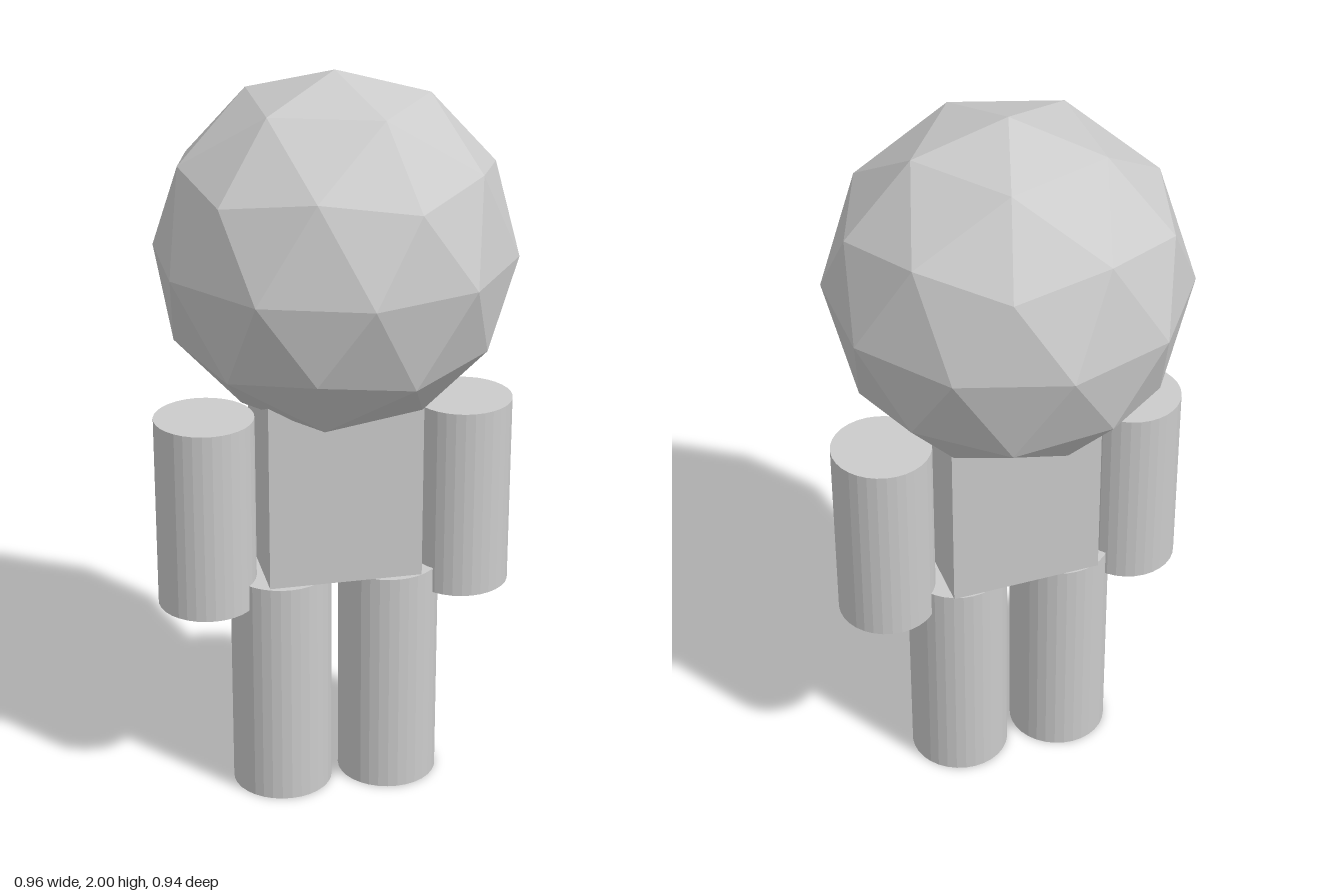
import * as THREE from 'three';

export function createModel() {
  const model = new THREE.Group();
  const material = new THREE.MeshStandardMaterial({ color: 0xcccccc, flatShading: true });

  const add = (name, geometry, x, y) => {
    const mesh = new THREE.Mesh(geometry, material);
    mesh.name = name;
    mesh.position.set(x, y, 0);
    model.add(mesh);
  };

  // Faceted head, turned so a corner of the icosahedron points straight up
  const head = new THREE.IcosahedronGeometry(0.47, 1);
  head.rotateZ(-Math.atan(2 / (1 + Math.sqrt(5))));
  add('head', head, 0, 1.53);

  // Box torso, its top sunk into the head
  const bottom = 0.655, top = 1.2;
  add('torso', new THREE.BoxGeometry(0.41, top - bottom, 0.292), 0, (top + bottom) / 2);

  // Mirrored cylinder limbs
  for (const [side, s] of [['left', 1], ['right', -1]]) {
    add(side + 'Arm', new THREE.CylinderGeometry(0.132, 0.132, 0.53, 32), s * 0.348, 0.833);
    add(side + 'Leg', new THREE.CylinderGeometry(0.136, 0.136, 0.64, 32), s * 0.148, 0.32);
  }

  return model;
}
